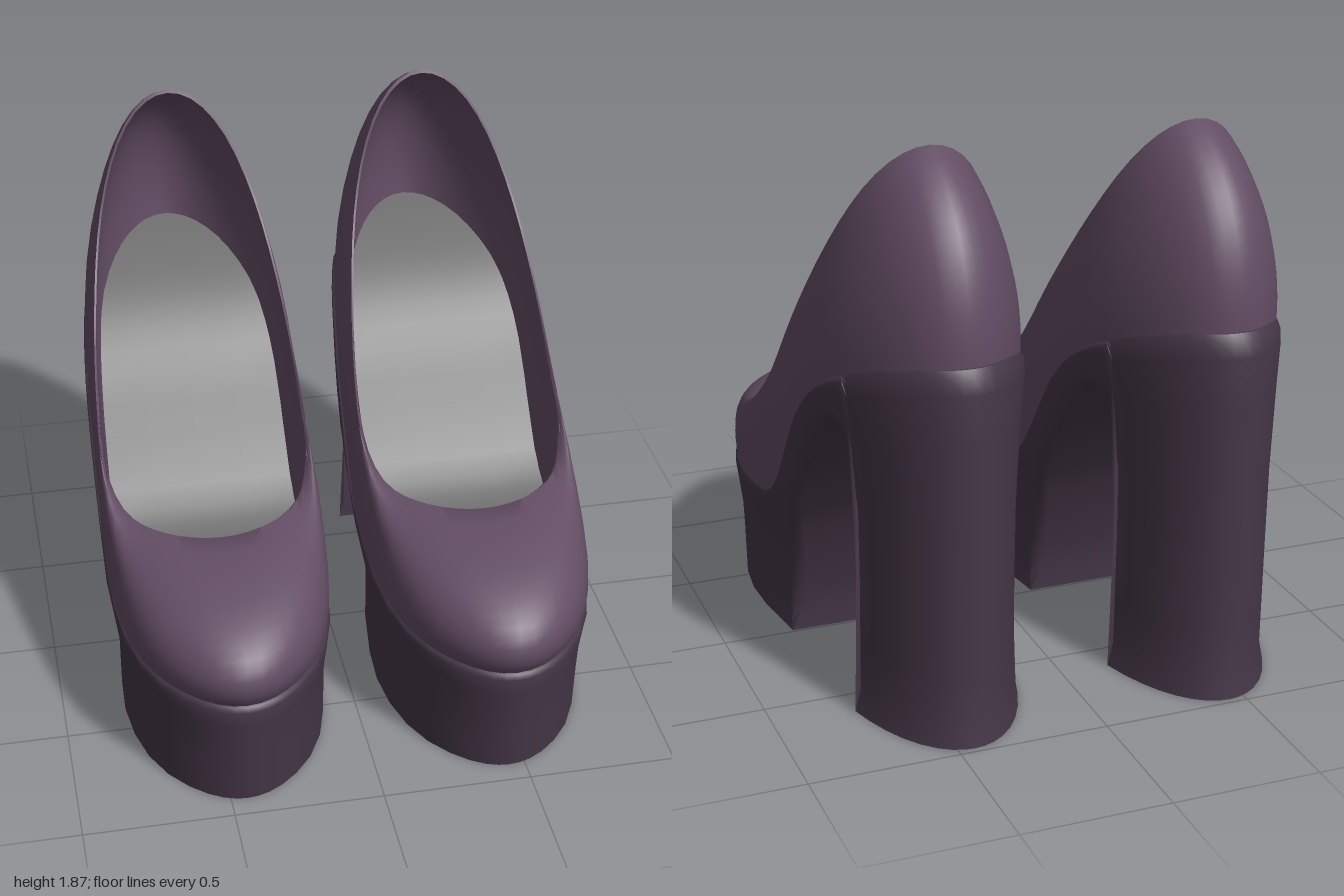
import * as THREE from 'three';
import { toCreasedNormals } from 'three/addons/utils/BufferGeometryUtils.js';

const { lerp, degToRad, smoothstep } = THREE.MathUtils;

// Smooth function through [x, y] points sorted by x
function curve(pts) {
  const n = pts.length;
  const slope = (i) => {
    const a = pts[Math.max(i - 1, 0)], b = pts[Math.min(i + 1, n - 1)];
    return (b[1] - a[1]) / (b[0] - a[0]);
  };
  return (x) => {
    x = Math.min(Math.max(x, pts[0][0]), pts[n - 1][0]);
    let i = 0;
    while (i < n - 2 && x > pts[i + 1][0]) i++;
    const [x0, y0] = pts[i], [x1, y1] = pts[i + 1];
    const h = x1 - x0, t = (x - x0) / h, t2 = t * t, t3 = t2 * t;
    return y0 * (2 * t3 - 3 * t2 + 1) + slope(i) * h * (t3 - 2 * t2 + t)
      + y1 * (3 * t2 - 2 * t3) + slope(i + 1) * h * (t3 - t2);
  };
}

// Surface through rows of [x, y, z] points, each row optionally closed
function skin(rows, closed) {
  const n = rows[0].length, index = [];
  for (let r = 0; r < rows.length - 1; r++) {
    for (let i = 0; i < (closed ? n : n - 1); i++) {
      const j = (i + 1) % n, a = r * n + i, b = r * n + j;
      index.push(a, b, b + n, a, b + n, a + n);
    }
  }
  const g = new THREE.BufferGeometry();
  g.setAttribute('position', new THREE.Float32BufferAttribute(rows.flat(2), 3));
  g.setIndex(index);
  return toCreasedNormals(g, 0.9);
}

// Height of the seam between upper and base, along z
const seam = curve([[-0.97, 1.275], [-0.88, 1.26], [-0.665, 1.19], [-0.45, 1.085], [-0.29, 0.945],
  [-0.155, 0.755], [-0.02, 0.585], [0.11, 0.505], [0.3, 0.475], [0.6, 0.45], [0.97, 0.43]]);
// Height of the opening's edge, along z
const topline = curve([[-0.6, 1.87], [-0.4, 1.54], [-0.18, 1.23], [0, 0.99], [0.17, 0.83],
  [0.3, 0.757], [0.48, 0.745]]);
// Half widths of the footprint and of the opening: an ellipse times a shaping factor
const footShape = curve([[-1, 0.375], [-0.8, 0.385], [-0.6, 0.39], [-0.3, 0.38], [0, 0.37],
  [0.4, 0.402], [0.8, 0.45], [1, 0.43]]);
const openShape = curve([[-1, 0.36], [-0.4, 0.335], [0, 0.345], [0.5, 0.385], [1, 0.41]]);
// Narrowing of the base below the seam
const taper = curve([[-1, 0.95], [-0.63, 0.87], [-0.3, 0.84], [0, 0.83], [0.25, 0.9], [0.45, 0.94], [1, 0.93]]);
const round = (s) => Math.sqrt(Math.max(0, 1 - s * s));
const footWidth = (s) => round(s) * footShape(s);

// Upper: shell rising from the seam to the opening, then a lining back down
function upperGeometry() {
  const around = 56, steps = 14;
  const point = (i, t) => {
    const a = (i / around) * Math.PI * 2, s = Math.cos(a), side = Math.sin(a);
    const toe = Math.max(0, s), u = 1 - t;
    const z0 = s * 0.96, x0 = side * footShape(s) * 0.975, y0 = seam(z0) - 0.015;
    const z3 = -0.06 + s * 0.54, x3 = side * openShape(s), y3 = topline(z3);
    const bulge = 1.01 + 0.145 * toe * toe, flare = 1.02 + 0.05 * toe;
    const full = lerp(0.77, 0.85, toe);
    const bez = (p0, p1, p2, p3) =>
      u * u * u * p0 + 3 * u * u * t * p1 + 3 * u * t * t * p2 + t * t * t * p3;
    return [
      bez(x0, x0 * flare, lerp(x3, x0, full), x3),
      bez(y0, lerp(y0, y3, lerp(0.42, 0.48, toe)), lerp(y3, y0, lerp(0.2, 0.12, toe)), y3),
      bez(z0, z0 * bulge, lerp(z3, z0, full), z3),
    ];
  };
  const row = (t, inside) => Array.from({ length: around }, (_, i) => {
    const [x, y, z] = point(i, t);
    const k = inside ? lerp(0.87, 0.982, t) : 1;
    return [x * k, y - (inside ? 0.008 : 0), z * k];
  });
  const rows = [];
  for (let r = 0; r <= steps; r++) rows.push(row(r / steps, false));
  for (let r = steps; r >= 0; r--) rows.push(row(r / steps, true));
  return skin(rows, true);
}

// Base: platform, arch and block heel lofted from toe to heel
function baseGeometry() {
  const end = (a) => { const s = Math.cos(degToRad(a)); return [s, s, 0]; };
  // Each station: position at the seam, position at the underside, underside height
  const stations = [
    ...[0, 5, 11, 18, 26, 35, 45, 55, 65, 75].map(end),
    [0.12, 0.01, 0], [0.09, 0, 0.09], [0.06, -0.02, 0.18], [0.02, -0.06, 0.315], [-0.02, -0.1, 0.43],
    [-0.06, -0.15, 0.53], [-0.15, -0.24, 0.665], [-0.22, -0.31, 0.77], [-0.28, -0.38, 0.855],
    [-0.34, -0.43, 0.92], [-0.4, -0.475, 0.965], [-0.44, -0.515, 0.985], [-0.49, -0.55, 0.99],
    [-0.54, -0.59, 0.982], [-0.575, -0.62, 0.96], [-0.6, -0.64, 0.925], [-0.625, -0.65, 0.87],
    [-0.65, -0.63, 0],
    ...[135, 142, 149, 156, 163, 169, 175, 180].map(end),
  ];
  const levels = [0, 0.02, 0.06, 0.2, 0.4, 0.6, 0.8, 0.93, 1];
  const inset = [0.97, 0.99, 1, 1, 1, 1, 1, 1, 1];
  const archRounding = [1, 1, 1, 1, 1, 1, 1, 0.96, 0.88];
  const rows = stations.map(([s, sb, yb]) => {
    const top = seam(s * 0.97);
    const side = levels.map((t, i) => {
      const p = lerp(s, sb, t), y = lerp(top, yb, t);
      const depth = 1 - y / top;
      const heelFoot = yb === 0 && s < 0 && t === 1;
      const reach = p > 0 ? lerp(0.985, 0.925, depth) : lerp(1, heelFoot ? 0.98 : 0.965, depth);
      const narrow = lerp(1.01, taper(p), smoothstep(depth, -0.1, 0.5));
      const edge = yb > 0 ? archRounding[i] : heelFoot ? 1.06 : 1;
      return [footWidth(p) * narrow * edge * inset[i], y, p * reach * inset[i]];
    });
    const left = side.map(([x, y, z]) => [-x, y, z]).reverse();
    return [...left, ...side];
  });
  return skin(rows, true);
}

// Insole: thin sheet following the seam
function insoleGeometry() {
  const rows = [];
  for (let a = 0; a <= 180; a += 4) {
    const s = Math.cos(degToRad(a)), z = s * 0.87, w = footWidth(s) * 0.86;
    rows.push([-1, -0.5, 0, 0.5, 1].map((k) => [k * w, seam(z) + 0.025, z]));
  }
  return skin(rows, false);
}

export function createModel() {
  const material = (color) => new THREE.MeshStandardMaterial({ color, side: THREE.DoubleSide });
  const parts = [
    ['upper', upperGeometry(), material(0x624c63)],
    ['platformAndHeel', baseGeometry(), material(0x453747)],
    ['insole', insoleGeometry(), material(0x6c6c6c)],
  ];
  const model = new THREE.Group();
  model.name = 'platformShoes';
  for (const [name, x] of [['leftShoe', 0.446], ['rightShoe', -0.446]]) {
    const shoe = new THREE.Group();
    shoe.name = name;
    shoe.position.x = x;
    for (const [part, geometry, mat] of parts) {
      const mesh = new THREE.Mesh(geometry, mat);
      mesh.name = part;
      shoe.add(mesh);
    }
    model.add(shoe);
  }
  return model;
}
